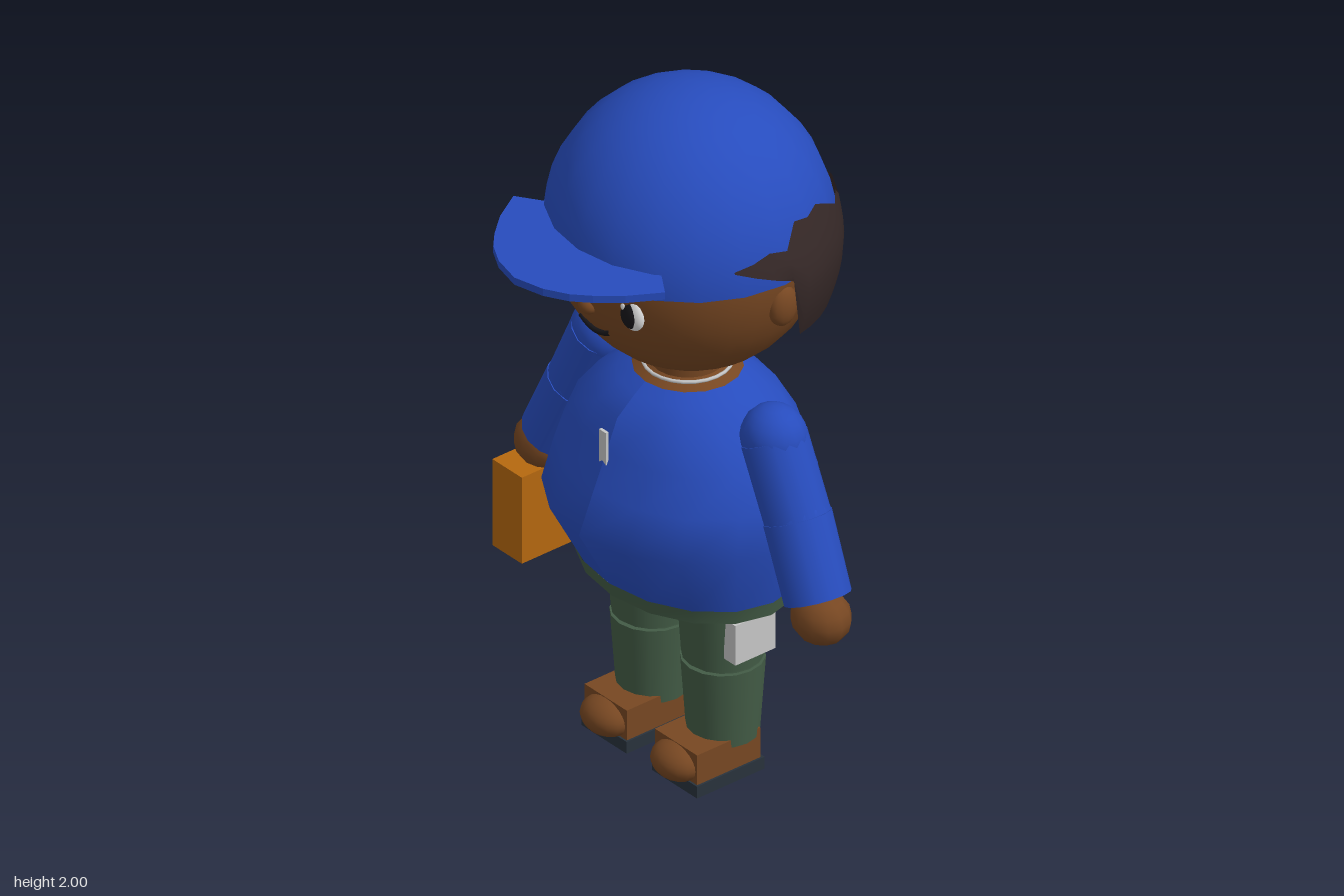
import * as THREE from 'three';

const mat = (name, color, side = THREE.FrontSide) => {
  const m = new THREE.MeshStandardMaterial({ color, side });
  m.name = name;
  return m;
};

export function createModel() {
  const root = new THREE.Group();
  root.name = 'figure';
  const blue = mat('blue cloth', 0x274cbd, THREE.DoubleSide);
  const skin = mat('brown skin', 0x774722);
  const hairMat = mat('dark hair', 0x342726, THREE.DoubleSide);
  const green = mat('green trousers', 0x435c46, THREE.DoubleSide);
  const grey = mat('light grey', 0xc6c6c6);
  const sole = mat('dark sole', 0x28323c);
  const orange = mat('orange case', 0xb5680f);
  const black = mat('black', 0x17161a);
  const white = mat('white', 0xe8e8e8);

  const add = (name, geo, material, x = 0, y = 0, z = 0) => {
    const m = new THREE.Mesh(geo, material);
    m.name = name;
    m.position.set(x, y, z);
    root.add(m);
    return m;
  };
  const ball = (name, material, x, y, z, rx, ry, rz, ws = 20, hs = 14) =>
    add(name, new THREE.SphereGeometry(1, ws, hs).scale(rx, ry, rz), material, x, y, z);
  const box = (name, material, x, y, z, w, h, d) =>
    add(name, new THREE.BoxGeometry(w, h, d), material, x, y, z);

  // Tapered limb between two points
  const limb = (name, material, a, b, ra, rb, n = 16) => {
    const A = new THREE.Vector3(...a), B = new THREE.Vector3(...b);
    const m = add(name, new THREE.CylinderGeometry(rb, ra, A.distanceTo(B), n), material);
    m.position.copy(A).add(B).multiplyScalar(0.5);
    m.quaternion.setFromUnitVectors(new THREE.Vector3(0, 1, 0), B.clone().sub(A).normalize());
    return m;
  };

  // Grid surface from a point function, rows upward and columns counter-clockwise
  const grid = (cols, rows, point) => {
    const pos = [], idx = [];
    for (let r = 0; r <= rows; r++) for (let c = 0; c <= cols; c++) pos.push(...point(c, r));
    for (let r = 0; r < rows; r++) for (let c = 0; c < cols; c++) {
      const a = r * (cols + 1) + c, b = a + cols + 1;
      idx.push(a, a + 1, b + 1, a, b + 1, b);
    }
    const g = new THREE.BufferGeometry();
    g.setAttribute('position', new THREE.Float32BufferAttribute(pos, 3));
    g.setIndex(idx);
    g.computeVertexNormals();
    return g;
  };

  // Oval cross-sections: [y, half width, front z, back z]
  const loft = (levels, n = 16) => grid(n, levels.length - 1, (c, r) => {
    const [y, rx, zf, zb] = levels[r];
    const a = (c / n) * Math.PI * 2, k = Math.cos(a);
    return [rx * Math.sin(a), y, -0.1 + k * (k > 0 ? zf + 0.1 : -0.1 - zb)];
  });

  // Torso, waistband and the closed underside
  add('shirt', loft([
    [0.585, 0.342, 0.162, -0.363], [0.78, 0.4, 0.27, -0.41], [0.9, 0.385, 0.22, -0.405],
    [1.0, 0.345, 0.177, -0.378], [1.09, 0.27, 0.14, -0.33], [1.14, 0.2, 0.08, -0.275],
    [1.165, 0.15, 0.045, -0.245],
  ]), blue);
  add('waistband', loft([[0.55, 0.34, 0.158, -0.36], [0.592, 0.348, 0.168, -0.368]]), green);
  const hips = add('hips', new THREE.CylinderGeometry(1, 1, 0.02, 16), skin, 0, 0.575, -0.1);
  hips.scale.set(0.325, 1, 0.245);

  // Neckline, neck and chain
  add('neckline', new THREE.CylinderGeometry(0.1, 0.155, 0.035, 20), skin, 0, 1.163, -0.1);
  add('neck', new THREE.CylinderGeometry(0.1, 0.1, 0.16, 20), skin, 0, 1.22, -0.1);
  add('neckChain', new THREE.TorusGeometry(0.118, 0.005, 6, 24).rotateX(Math.PI / 2), grey, 0, 1.178, -0.1);

  // Notched zip tab on the chest
  const tab = new THREE.Shape([[-0.014, -0.05], [0, -0.04], [0.014, -0.05], [0.014, 0.05], [-0.014, 0.05]]
    .map(p => new THREE.Vector2(...p)));
  add('zipTab', new THREE.ExtrudeGeometry(tab, { depth: 0.009, bevelEnabled: false }), grey, 0, 1.02, 0.181);

  // Head, nose and smile
  ball('head', skin, 0, 1.59, -0.105, 0.377, 0.39, 0.365, 32, 20);
  ball('nose', skin, 0, 1.48, 0.24, 0.03, 0.024, 0.024, 14, 10);
  const smile = new THREE.CatmullRomCurve3([
    [-0.06, 1.412, 0.213], [-0.04, 1.402, 0.214], [0, 1.394, 0.215], [0.04, 1.402, 0.214], [0.06, 1.412, 0.213],
  ].map(p => new THREE.Vector3(...p)));
  add('mouth', new THREE.TubeGeometry(smile, 16, 0.008, 6), black);

  // Cap: half dome and flat crescent brim
  add('capDome', new THREE.SphereGeometry(1, 20, 10, 0, Math.PI * 2, 0, Math.PI / 2)
    .scale(0.39, 0.41, 0.386), blue, 0, 1.59, -0.105);
  const half = [[0.09, 0.468], [0.155, 0.432], [0.2, 0.39], [0.255, 0.325], [0.308, 0.235], [0.24, 0.19], [0.2, 0.16]];
  const outline = [[0, 0.49], ...half, ...half.map(([x, z]) => [-x, z]).reverse()];
  const brim = new THREE.Shape(outline.map(([x, z]) => new THREE.Vector2(x, -z)));
  add('capBrim', new THREE.ExtrudeGeometry(brim, { depth: 0.022, bevelEnabled: false })
    .rotateX(-Math.PI / 2), blue, 0, 1.643, 0);

  // Hair: open shell round the back, with a ragged top edge over the cap
  const tops = [1.635, 1.62, 1.66, 1.68, 1.655, 1.7, 1.69, 1.72, 1.745, 1.735, 1.745, 1.69, 1.7, 1.685, 1.675];
  const last = tops.length - 1, cols = last * 2;
  const hair = grid(cols, 7, (c, r) => {
    const k = Math.abs(c - last);
    const phi = (c - last) / last * 1.97; // measured from the back
    const low = k <= 10 ? 1.41 : 1.59 + (k - 10) / 4 * 0.08;
    const y = low + (tops[k] - low) * r / 7, dy = y - 1.59;
    const s = Math.sqrt(1 - (dy / (dy > 0 ? 0.41 : 0.45)) ** 2);
    const rx = 0.42 - Math.max(0, dy) * 0.2;
    return [-Math.sin(phi) * rx * s, y, -0.105 - Math.cos(phi) * 0.394 * s];
  });
  add('hair', hair, hairMat);

  for (const s of [1, -1]) {
    const side = s > 0 ? 'left' : 'right';

    // Eye layers and ear
    ball(side + 'EyeWhite', white, s * 0.143, 1.515, 0.205, 0.042, 0.057, 0.025);
    ball(side + 'Pupil', black, s * 0.141, 1.512, 0.212, 0.034, 0.047, 0.023);
    ball(side + 'EyeGlint', white, s * 0.143 - 0.012, 1.535, 0.23, 0.009, 0.012, 0.005, 10, 8);
    ball(side + 'Ear', skin, s * 0.365, 1.51, -0.118, 0.03, 0.06, 0.045, 14, 10);

    // Sleeve and hand
    const shoulder = [s * 0.345, 1.1, -0.105], elbow = [s * 0.44, 0.9, -0.105], wrist = [s * 0.535, 0.7, -0.095];
    ball(side + 'Shoulder', blue, ...shoulder, 0.095, 0.095, 0.088, 16, 10);
    limb(side + 'UpperSleeve', blue, elbow, shoulder, 0.091, 0.091, 14);
    ball(side + 'Elbow', blue, ...elbow, 0.091, 0.091, 0.091, 14, 10);
    limb(side + 'LowerSleeve', blue, wrist, elbow, 0.092, 0.094, 14);
    ball(side + 'Hand', skin, s * 0.562, 0.662, -0.083, 0.088, 0.078, 0.078, 12, 8);

    // Trouser leg in two lengths with a crease at the knee
    limb(side + 'UpperLeg', green, [s * 0.143, 0.345, -0.1], [s * 0.143, 0.585, -0.1], 0.11, 0.126);
    limb(side + 'KneeCrease', green, [s * 0.143, 0.32, -0.104], [s * 0.143, 0.36, -0.104], 0.103, 0.103);
    limb(side + 'LowerLeg', green, [s * 0.143, 0.105, -0.1], [s * 0.143, 0.336, -0.1], 0.097, 0.113);
    box(side + 'Pouch', grey, s * 0.255, 0.453, -0.098, 0.046, 0.122, 0.137);

    // Shoe
    box(side + 'Sole', sole, s * 0.143, 0.018, -0.05, 0.184, 0.036, 0.23);
    box(side + 'Shoe', skin, s * 0.143, 0.08, -0.048, 0.172, 0.095, 0.215);
    ball(side + 'Toe', skin, s * 0.143, 0.073, 0.055, 0.08, 0.053, 0.065, 16, 12);
  }

  // Case carried in the right hand
  box('carriedCase', orange, -0.573, 0.483, -0.085, 0.12, 0.265, 0.24);

  return root;
}
